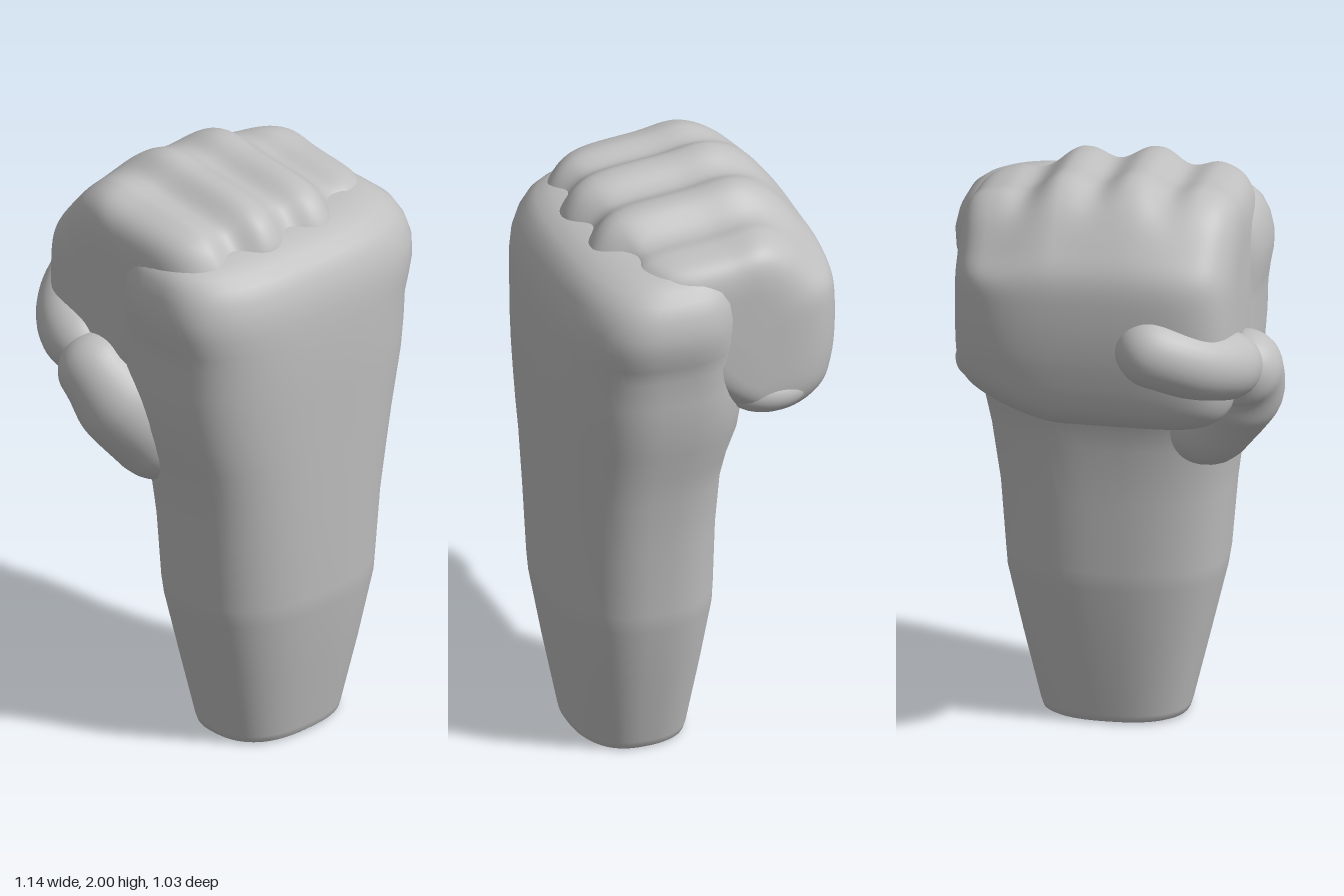
import * as THREE from 'three';

const { lerp, smoothstep, clamp } = THREE.MathUtils;

// Skin a list of equal-length rings, close both ends, and face outwards
function loft(rings) {
  const n = rings[0].length, pos = [], idx = [];
  const V = rings.flat();
  const ends = [rings[0], rings[rings.length - 1]].map(r =>
    r.reduce((a, p) => a.add(p), new THREE.Vector3()).divideScalar(n));
  V.push(...ends);
  for (let i = 0; i < rings.length - 1; i++) {
    for (let j = 0; j < n; j++) {
      const a = i * n + j, b = i * n + (j + 1) % n;
      idx.push(a, b, b + n, a, b + n, a + n);
    }
  }
  const last = (rings.length - 1) * n;
  for (let j = 0; j < n; j++) {
    const k = (j + 1) % n;
    idx.push(V.length - 2, k, j, V.length - 1, last + j, last + k);
  }
  let volume = 0;
  const c = new THREE.Vector3();
  for (let i = 0; i < idx.length; i += 3) {
    volume += V[idx[i]].dot(c.crossVectors(V[idx[i + 1]], V[idx[i + 2]]));
  }
  if (volume < 0) idx.reverse();
  V.forEach(p => pos.push(p.x, p.y, p.z));
  const g = new THREE.BufferGeometry();
  g.setAttribute('position', new THREE.Float32BufferAttribute(pos, 3));
  g.setIndex(idx);
  g.computeVertexNormals();
  return g;
}

// Forearm, wrist and back of the hand: rounded-rectangle sections up y
function armGeometry() {
  // y, xMin, xMax, zMin, zMax
  const sections = [
    [0, -0.19, 0.27, 0.04, 0.39], [0.008, -0.205, 0.28, 0.025, 0.4],
    [0.03, -0.212, 0.287, 0.018, 0.405], [0.27, -0.27, 0.345, -0.022, 0.45],
    [0.5, -0.325, 0.397, -0.057, 0.488], [0.56, -0.335, 0.402, -0.06, 0.492],
    [0.8, -0.355, 0.42, -0.063, 0.5], [1.0, -0.38, 0.448, -0.07, 0.505],
    [1.1, -0.405, 0.466, -0.09, 0.508], [1.2, -0.43, 0.49, -0.12, 0.51],
    [1.3, -0.445, 0.51, -0.13, 0.513], [1.4, -0.453, 0.52, -0.13, 0.515],
    [1.5, -0.455, 0.525, -0.12, 0.515], [1.56, -0.463, 0.545, -0.11, 0.513],
    [1.62, -0.474, 0.562, -0.1, 0.51], [1.68, -0.476, 0.565, -0.1, 0.502],
    [1.74, -0.466, 0.55, -0.1, 0.483], [1.785, -0.45, 0.525, -0.09, 0.455],
    [1.815, -0.43, 0.49, -0.08, 0.42], [1.84, -0.4, 0.45, -0.06, 0.37],
    [1.855, -0.34, 0.38, -0.03, 0.3],
  ];
  return loft(sections.map(([y, x0, x1, z0, z1]) => {
    const e = 2 / lerp(2.5, 2.9, smoothstep(y, 0.6, 1.4));
    return Array.from({ length: 72 }, (_, j) => {
      const a = j / 72 * Math.PI * 2, c = Math.cos(a), s = Math.sin(a);
      return new THREE.Vector3(
        (x0 + x1) / 2 + (x1 - x0) / 2 * Math.sign(c) * Math.abs(c) ** e, y,
        (z0 + z1) / 2 + (z1 - z0) / 2 * Math.sign(s) * Math.abs(s) ** e);
    });
  }));
}

// Four curled fingers: one side profile carried along x, grooved between fingers
function fingersGeometry() {
  const profile = new THREE.CatmullRomCurve3([
    [0.38, 1.78], [0.345, 1.89], [0.27, 1.95], [0, 1.985], [-0.15, 2], [-0.26, 1.95],
    [-0.36, 1.84], [-0.42, 1.74], [-0.437, 1.6], [-0.425, 1.4], [-0.385, 1.25],
    [-0.3, 1.18], [-0.18, 1.165], [-0.02, 1.24], [0.2, 1.5],
  ].map(([z, y]) => new THREE.Vector3(0, y, z)), true).getPoints(110).slice(0, -1);
  const drops = [0.025, 0, 0.015, 0.08];
  const steps = 120, rings = [];
  for (let i = 0; i <= steps; i++) {
    const v = i / steps * 2 - 1;
    const u = Math.sign(v) * (1 - (1 - Math.abs(v)) ** 1.5);
    const x = 0.03 + 0.47 * u;
    const round = e => Math.max(0.03, (1 - Math.abs(u) ** e) ** (1 / e));
    const shrinkY = round(6.5), shrinkZ = round(u > 0 ? 4.2 : 4.8);
    const f = (x + 0.44) / 0.235;
    const k = clamp(f - 0.5, 0, 2.999), m = Math.floor(k);
    const drop = lerp(drops[m], drops[m + 1], smoothstep(k - m, 0, 1));
    const inner = f > 0.5 && f < 3.5 ? 1 : 0;
    const groove = inner * 0.036 * Math.abs(Math.cos(Math.PI * f)) ** 2.5;
    const heelLift = 0.09 * smoothstep(x, 0.12, 0.5);
    rings.push(profile.map(p => {
      const top = smoothstep(p.y, 1.6, 1.93);
      const fade = smoothstep(p.z, -0.36, -0.12);
      const front = smoothstep(p.z, 0.2, 0.34);
      const bottom = 1 - smoothstep(p.y, 1.16, 1.5);
      const y = p.y - top * (drop + groove * fade) + bottom * heelLift;
      const z = p.z - front * (groove * 0.8 + drop * 0.3);
      return new THREE.Vector3(x, 1.56 + (y - 1.56) * shrinkY, -0.05 + (z + 0.05) * shrinkZ);
    }));
  }
  return loft(rings);
}

// Tapering round limb through points [x, y, z, radius], with domed ends
function limbGeometry(points) {
  const curve = new THREE.CatmullRomCurve3(points.map(p => new THREE.Vector3(p[0], p[1], p[2])));
  const n = 48, frames = curve.computeFrenetFrames(n), rings = [];
  for (let i = 0; i <= n; i++) {
    const t = i / n, c = curve.getPointAt(t);
    const k = Math.min(curve.getUtoTmapping(t) * (points.length - 1), points.length - 1.001);
    const m = Math.floor(k);
    const end = Math.max(0, Math.abs(t - 0.5) - 0.3) / 0.2;
    const r = lerp(points[m][3], points[m + 1][3], smoothstep(k - m, 0, 1)) *
      Math.sqrt(Math.max(0.002, 1 - end * end));
    rings.push(Array.from({ length: 32 }, (_, j) => {
      const a = j / 32 * Math.PI * 2;
      return c.clone().addScaledVector(frames.normals[i], r * Math.cos(a))
        .addScaledVector(frames.binormals[i], r * Math.sin(a));
    }));
  }
  return loft(rings);
}

export function createModel() {
  const model = new THREE.Group();
  model.name = 'raisedFist';
  const clay = new THREE.MeshStandardMaterial({ color: 0xbfbfbf });
  clay.name = 'grey clay';
  const add = (name, geometry) => {
    const mesh = new THREE.Mesh(geometry, clay);
    mesh.name = name;
    model.add(mesh);
    return mesh;
  };

  add('forearmAndPalm', armGeometry());
  add('curledFingers', fingersGeometry());

  // Thumb: fleshy base by the wrist, then the tip folded across the fingers
  add('thumbBase', limbGeometry([
    [-0.2, 0.97, 0.07, 0.12], [-0.31, 1.11, 0.03, 0.155], [-0.4, 1.24, -0.02, 0.16],
    [-0.44, 1.34, -0.1, 0.132], [-0.42, 1.41, -0.2, 0.11],
  ]));
  add('thumbTip', limbGeometry([
    [-0.41, 1.36, -0.1, 0.1], [-0.405, 1.4, -0.24, 0.115], [-0.32, 1.44, -0.34, 0.12],
    [-0.2, 1.49, -0.398, 0.118], [-0.07, 1.52, -0.39, 0.1],
  ]));

  // Little fingertip pressing out at the heel of the hand
  const nub = add('littleFingertip', new THREE.SphereGeometry(1, 32, 20));
  nub.scale.set(0.1, 0.075, 0.14);
  nub.position.set(0.405, 1.345, -0.16);
  return model;
}
